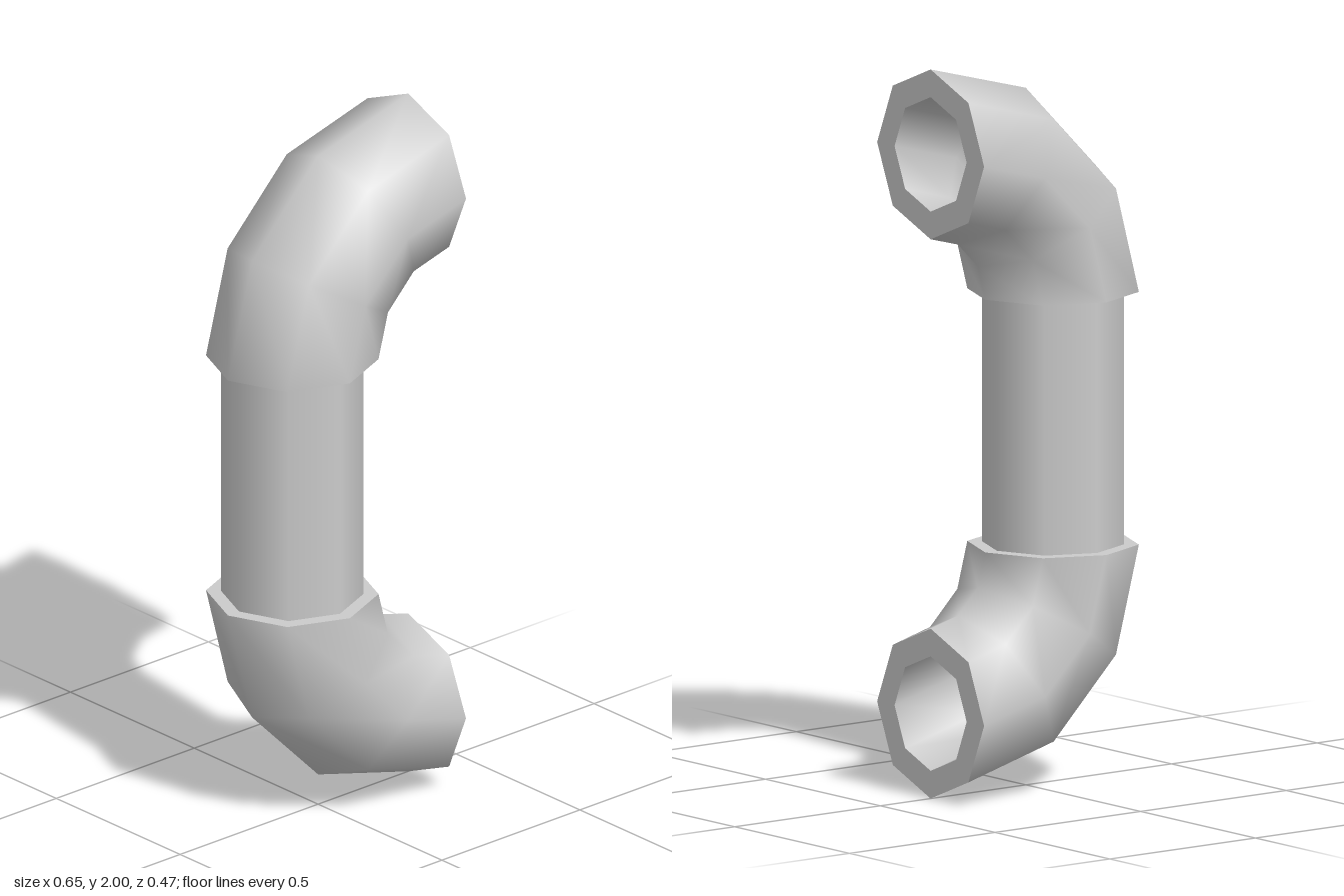
import * as THREE from 'three';
import { mergeGeometries } from 'three/addons/utils/BufferGeometryUtils.js';

const SIDES = 8;
const BEND = 0.4205; // centreline radius of the elbows
const OUTER = 0.233, BORE = 0.157, PIPE = 0.193;
const END_X = 0.327; // plane of the open mouths
const LOW_Y = 0.6535, HIGH_Y = 1.3465; // where the elbows meet the pipe

const material = new THREE.MeshStandardMaterial({ color: 0xcccccc });

// Turns a surface inside out, for the walls of a bore
function inward(geometry) {
  const index = geometry.index;
  for (let i = 0; i < index.count; i += 3) {
    const a = index.getX(i);
    index.setX(i, index.getX(i + 2));
    index.setX(i + 2, a);
  }
  const normal = geometry.attributes.normal;
  for (let i = 0; i < normal.count; i++) {
    normal.setXYZ(i, -normal.getX(i), -normal.getY(i), -normal.getZ(i));
  }
  return geometry;
}

// Hollow quarter bend with a flat rim at each end
function elbowGeometry() {
  const wall = (radius) => new THREE.TorusGeometry(BEND, radius, SIDES, 3, Math.PI / 2);
  const rim = () => new THREE.RingGeometry(BORE, OUTER, SIDES, 1);
  return mergeGeometries([
    wall(OUTER),
    inward(wall(BORE)),
    rim().rotateX(Math.PI / 2).translate(BEND, 0, 0),
    rim().rotateY(-Math.PI / 2).translate(0, BEND, 0),
  ]);
}

// Straight hollow pipe
function pipeGeometry() {
  const wall = (radius) =>
    new THREE.CylinderGeometry(radius, radius, HIGH_Y - LOW_Y, SIDES, 1, true);
  return mergeGeometries([wall(PIPE), inward(wall(BORE))]);
}

export function createModel() {
  const model = new THREE.Group();
  model.name = 'pipeBend';

  const add = (name, geometry, x, y, turn = 0) => {
    const mesh = new THREE.Mesh(geometry, material);
    mesh.name = name;
    mesh.position.set(x, y, 0);
    mesh.rotation.z = turn;
    model.add(mesh);
  };

  const elbow = elbowGeometry();
  add('upperElbow', elbow, END_X, HIGH_Y, Math.PI / 2);
  add('lowerElbow', elbow, END_X, LOW_Y, Math.PI);
  add('straightPipe', pipeGeometry(), END_X - BEND, (LOW_Y + HIGH_Y) / 2);

  return model;
}
